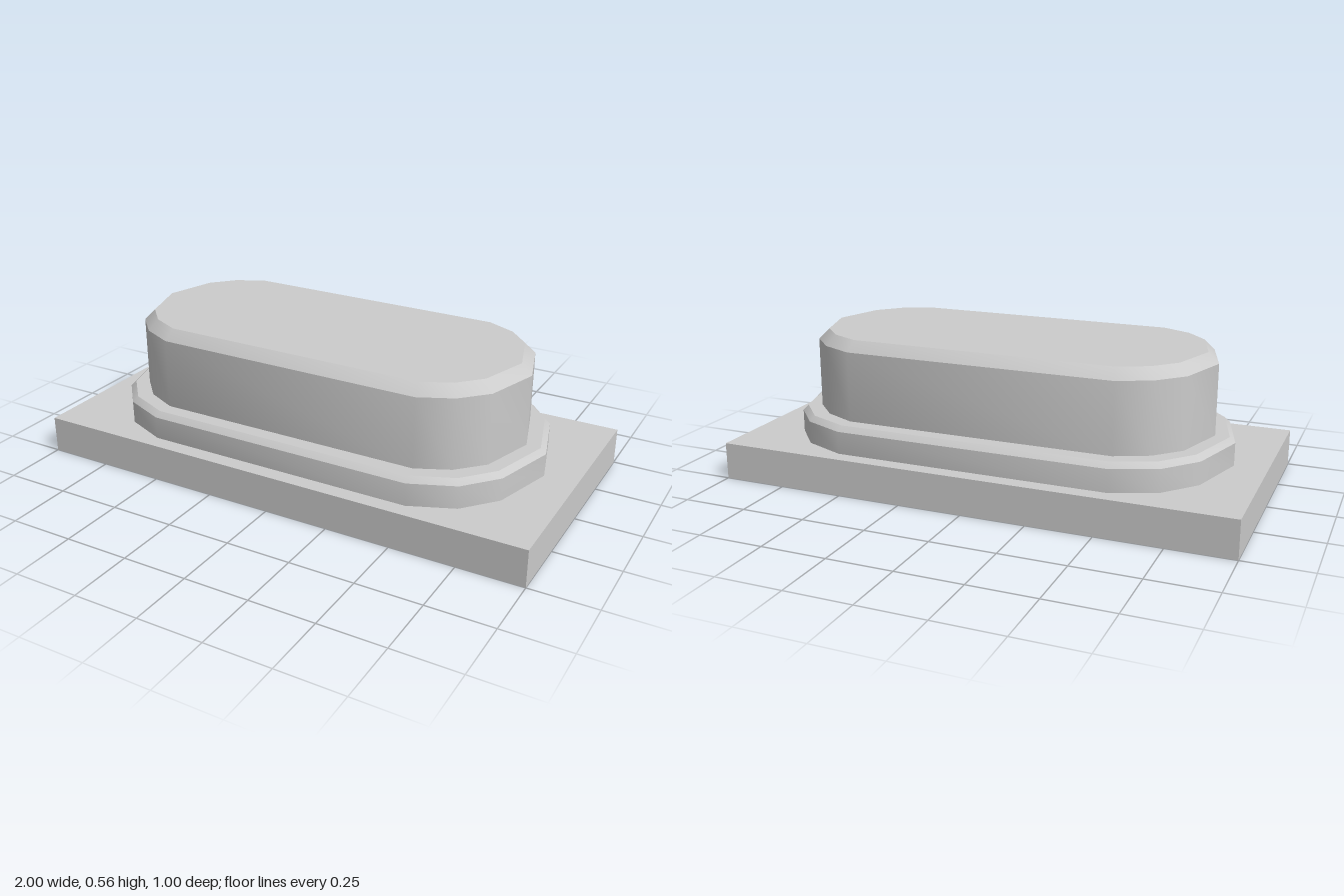
import * as THREE from 'three';
import { toCreasedNormals } from 'three/addons/utils/BufferGeometryUtils.js';

const material = new THREE.MeshStandardMaterial({ color: 0xcccccc });

// Mirror a quarter outline (tip on +x first, then towards +z) into a closed loop
function mirrorOutline(quarter) {
  const half = [...quarter, ...quarter.slice().reverse().map(([x, z]) => [-x, z])];
  const back = half.slice(1, -1).reverse().map(([x, z]) => [x, -z]);
  return [...half, ...back];
}

// Stack outlines at given heights into a closed solid with crisp bevels
function loft(name, sections) {
  const rings = sections.map(({ y, quarter }) => mirrorOutline(quarter).map(([x, z]) => [x, y, z]));
  const n = rings[0].length;
  const bottom = [0, sections[0].y, 0];
  const top = [0, sections[sections.length - 1].y, 0];
  const positions = [];
  const triangle = (a, b, c) => positions.push(...a, ...b, ...c);
  for (let i = 0; i < n; i++) {
    const j = (i + 1) % n;
    for (let k = 0; k < rings.length - 1; k++) {
      const lower = rings[k], upper = rings[k + 1];
      triangle(lower[i], upper[j], lower[j]);
      triangle(lower[i], upper[i], upper[j]);
    }
    triangle(bottom, rings[0][i], rings[0][j]);
    triangle(top, rings[rings.length - 1][j], rings[rings.length - 1][i]);
  }
  const geometry = new THREE.BufferGeometry();
  geometry.setAttribute('position', new THREE.Float32BufferAttribute(positions, 3));
  const mesh = new THREE.Mesh(toCreasedNormals(geometry, 0.62), material);
  mesh.name = name;
  return mesh;
}

export function createModel() {
  const model = new THREE.Group();
  model.name = 'steppedPlinth';

  // Rectangular base slab
  const base = new THREE.Mesh(new THREE.BoxGeometry(2, 0.143, 1), material);
  base.name = 'baseSlab';
  base.position.y = 0.0715;
  model.add(base);

  // Low flange with a narrow bevel
  const flange = [[0.875, 0], [0.805, 0.245], [0.697, 0.37], [0.53, 0.44]];
  const flangeTop = [[0.854, 0], [0.786, 0.235], [0.684, 0.352], [0.525, 0.419]];
  model.add(loft('flange', [
    { y: 0.143, quarter: flange },
    { y: 0.23, quarter: flange },
    { y: 0.25, quarter: flangeTop },
  ]));

  // Tall upper block with a wider bevel
  const block = [[0.8, 0], [0.737, 0.21], [0.645, 0.306], [0.52, 0.364]];
  const blockTop = [[0.76, 0], [0.702, 0.188], [0.622, 0.273], [0.511, 0.325]];
  model.add(loft('upperBlock', [
    { y: 0.25, quarter: block },
    { y: 0.52, quarter: block },
    { y: 0.56, quarter: blockTop },
  ]));

  return model;
}
